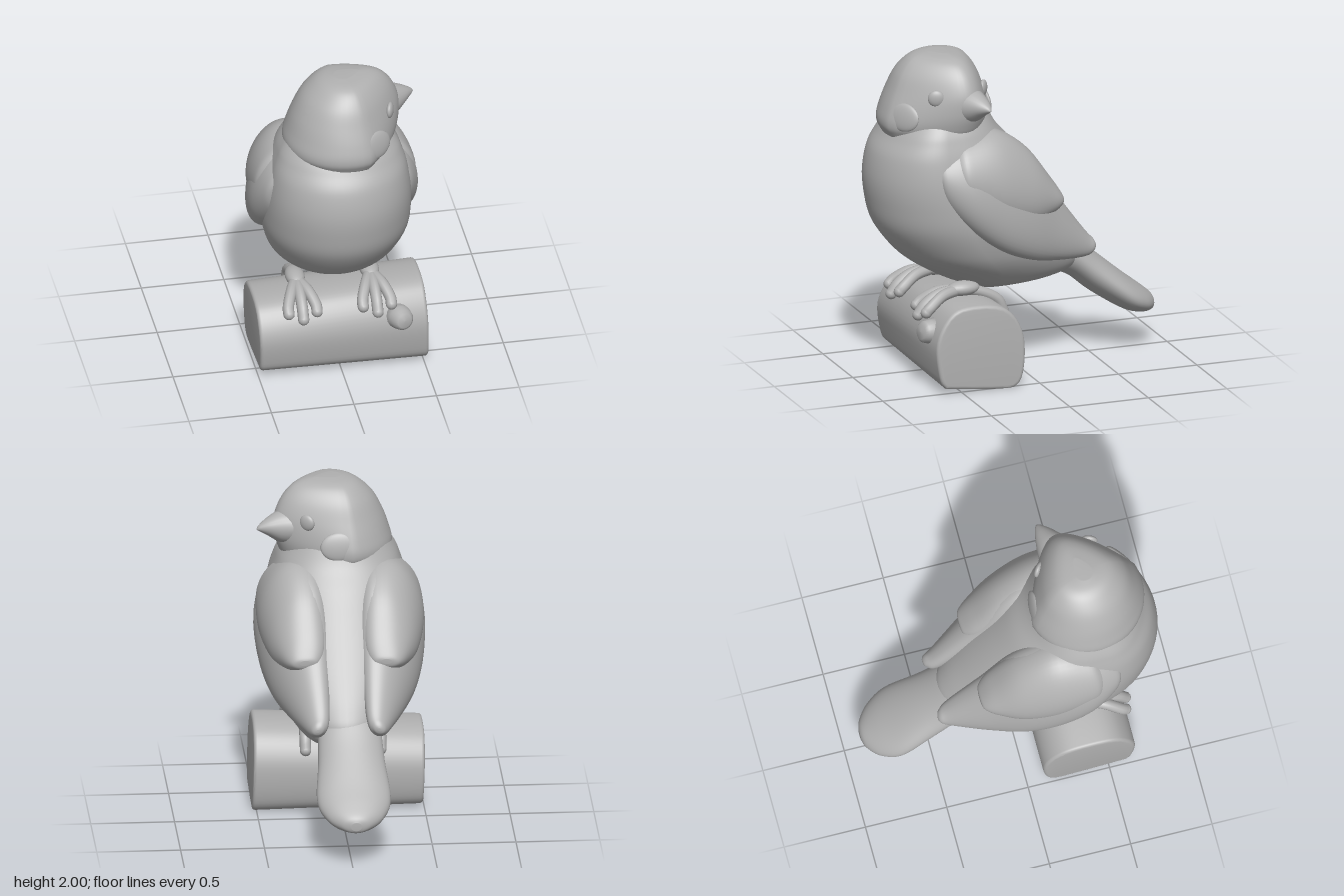
import * as THREE from 'three';
import { toCreasedNormals } from 'three/addons/utils/BufferGeometryUtils.js';

const gray = new THREE.MeshStandardMaterial({ color: 0xb0b0b0 });
gray.name = 'plain gray';

function part(name, geometry, parent) {
  const mesh = new THREE.Mesh(geometry, gray);
  mesh.name = name;
  parent.add(mesh);
  return mesh;
}

// Catmull-Rom refinement of a short table of cross-section sizes
function refine(rows, steps = 6) {
  const out = [];
  const at = (i) => rows[Math.max(0, Math.min(rows.length - 1, i))];
  for (let i = 0; i < rows.length - 1; i++) {
    for (let s = 0; s < steps; s++) {
      const t = s / steps;
      out.push(at(i).map((b, k) => {
        const a = at(i - 1)[k], c = at(i + 1)[k], d = at(i + 2)[k];
        return b + 0.5 * t * (c - a + t * (2 * a - 5 * b + 4 * c - d + t * (3 * (b - c) + d - a)));
      }));
    }
  }
  out.push(rows[rows.length - 1]);
  return out;
}

// Closed skin over cross-sections; ring(row, angle) gives a point [x, y, z]
function loft(rows, ring, sides = 48) {
  const sections = refine(rows), pos = [], idx = [];
  for (const row of sections) {
    for (let j = 0; j < sides; j++) pos.push(...ring(row, (j / sides) * Math.PI * 2));
  }
  const n = sections.length;
  for (let i = 0; i < n - 1; i++) {
    for (let j = 0; j < sides; j++) {
      const k = (j + 1) % sides, a = i * sides, b = a + sides;
      idx.push(a + j, a + k, b + j, a + k, b + k, b + j);
    }
  }
  for (const end of [0, n - 1]) {
    const c = [0, 0, 0], base = end * sides, id = pos.length / 3;
    for (let j = 0; j < sides; j++) for (let k = 0; k < 3; k++) c[k] += pos[(base + j) * 3 + k] / sides;
    pos.push(...c);
    for (let j = 0; j < sides; j++) {
      const a = base + j, b = base + (j + 1) % sides;
      idx.push(id, ...(end ? [a, b] : [b, a]));
    }
  }
  // Turn the faces outward by the sign of the enclosed volume
  const v = (i) => new THREE.Vector3().fromArray(pos, i * 3);
  let volume = 0;
  for (let i = 0; i < idx.length; i += 3) volume += v(idx[i]).dot(v(idx[i + 1]).cross(v(idx[i + 2])));
  if (volume < 0) idx.reverse();
  const g = new THREE.BufferGeometry();
  g.setAttribute('position', new THREE.Float32BufferAttribute(pos, 3));
  g.setIndex(idx);
  g.computeVertexNormals();
  return g;
}

// Body: level slices [y, front z, back z, half width], fuller across the upper back
function addBody(root) {
  part('body', loft([
    [1.64, 0.72, 0.18, 0.3], [1.56, 0.78, 0.14, 0.35], [1.5, 0.82, 0.1, 0.375], [1.4, 0.88, 0.02, 0.405],
    [1.25, 0.91, -0.08, 0.43], [1.1, 0.9, -0.18, 0.44], [0.95, 0.86, -0.28, 0.435],
    [0.8, 0.755, -0.38, 0.4], [0.7, 0.645, -0.43, 0.355], [0.6, 0.48, -0.42, 0.28],
    [0.545, 0.36, -0.28, 0.22], [0.51, 0.26, 0, 0.13], [0.5, 0.18, 0.08, 0.03],
  ], ([y, f, b, w], a) => {
    const zc = b + (f - b) * 0.6, c = Math.cos(a);
    const fullness = 0.9 - 0.26 * THREE.MathUtils.smoothstep(y, 0.7, 1.05);
    return [w * Math.sin(a), y, c > 0 ? zc + c * (f - zc) : zc - (-c) ** fullness * (zc - b)];
  }, 64), root);

  // Tail: upright slices [z, top, bottom, half width]
  part('tail', loft([
    [0, 0.9, 0.56, 0.15], [-0.2, 0.9, 0.54, 0.19], [-0.35, 0.79, 0.5, 0.19],
    [-0.5, 0.65, 0.38, 0.2], [-0.7, 0.48, 0.25, 0.22], [-0.82, 0.385, 0.215, 0.17],
    [-0.89, 0.325, 0.22, 0.09], [-0.91, 0.29, 0.24, 0.03],
  ], ([z, t, b, w], a) => [w * Math.cos(a) - 0.02, (t + b) / 2 + ((t - b) / 2) * Math.sin(a), z]), root);
}

// Wings: upright slices [z, top, bottom, outer x, inner x], leaning in toward the back
function addWings(root) {
  const layers = {
    flightFeathers: [
      [0.6, 1.37, 1.29, 0.4, 0.2], [0.56, 1.45, 1.13, 0.455, 0.15], [0.4, 1.52, 0.95, 0.505, 0.12],
      [0.2, 1.53, 0.81, 0.49, 0.12], [0, 1.4, 0.725, 0.44, 0.11], [-0.2, 1.1, 0.68, 0.355, 0.11],
      [-0.4, 0.83, 0.66, 0.255, 0.12], [-0.46, 0.76, 0.685, 0.225, 0.15], [-0.475, 0.73, 0.71, 0.2, 0.18],
    ],
    coverts: [
      [0.52, 1.42, 1.24, 0.4, 0.2], [0.47, 1.48, 1.15, 0.47, 0.15], [0.4, 1.52, 1.08, 0.495, 0.12],
      [0.2, 1.535, 0.99, 0.492, 0.12], [0, 1.41, 0.95, 0.448, 0.12], [-0.15, 1.215, 0.98, 0.382, 0.13],
      [-0.22, 1.11, 1.02, 0.33, 0.17], [-0.235, 1.08, 1.05, 0.28, 0.22],
    ],
  };
  for (const side of [1, -1]) {
    const wing = new THREE.Group();
    wing.name = side > 0 ? 'leftWing' : 'rightWing';
    root.add(wing);
    for (const [name, rows] of Object.entries(layers)) {
      part(name, loft(rows, ([z, t, b, o, i], a) => {
        const mid = (o + i) / 2, r = (o - i) / 2, s = Math.sin(a), c = Math.cos(a);
        const x = mid + r * Math.sign(c) * Math.abs(c) ** 0.9 - s * (t - b) * 0.1;
        return [side * x - (side > 0 ? 0.012 : 0), (t + b) / 2 + ((t - b) / 2) * s, z];
      }), wing);
    }
  }
}

// Head, built facing +x and then turned: level slices [y, front, back, half width]
function addHead(root) {
  const head = new THREE.Group();
  head.name = 'head';
  head.position.set(0.03, 0, 0.48);
  head.rotation.y = 0.3;
  root.add(head);
  part('skull', loft([
    [2.0, 0.1, -0.05, 0.05], [1.985, 0.19, -0.12, 0.14], [1.95, 0.26, -0.18, 0.2],
    [1.88, 0.32, -0.25, 0.255], [1.78, 0.36, -0.305, 0.3], [1.68, 0.36, -0.34, 0.34],
    [1.6, 0.34, -0.36, 0.36], [1.54, 0.31, -0.345, 0.345], [1.48, 0.24, -0.28, 0.28], [1.44, 0.05, -0.05, 0.05],
  ], ([y, f, b, w], a) => {
    const c = Math.cos(a);
    return [c > 0 ? f * c : -b * c, y, w * Math.sin(a) * (1 - 0.38 * Math.max(0, c))];
  }), head);

  // Beak: slices [x, centre y, half height, half width]
  part('beak', loft([
    [0.28, 1.72, 0.11, 0.12], [0.35, 1.722, 0.092, 0.09], [0.42, 1.73, 0.052, 0.055],
    [0.47, 1.73, 0.02, 0.022], [0.487, 1.725, 0.005, 0.005],
  ], ([x, y, h, w], a) => [x, y + h * Math.sin(a), w * Math.cos(a) - 0.06 * x], 24), head);

  for (const s of [1, -1]) {
    const eye = part('eye', new THREE.SphereGeometry(0.05, 24, 16), head);
    eye.position.set(0.225, 1.78, s * 0.177);
    eye.rotation.y = Math.atan2(0.8, s * 0.6);
    eye.scale.z = 0.45;
    const cheek = part('cheek', new THREE.SphereGeometry(0.1, 24, 16), head);
    cheek.position.set(0.07, 1.65, s * 0.303);
    cheek.rotation.set(-s * 0.2, s * 0.3, 0);
    cheek.scale.set(1.1, 0.85, 0.24);
  }
}

// Log perch with a cut-off twig
function addLog(root) {
  const outline = [[0.6, 0.045], [0.635, 0.1], [0.655, 0.28], [0.6, 0.415], [0.5, 0.488], [0.3, 0.488],
    [0.18, 0.43], [0.11, 0.3], [0.11, 0.12], [0.16, 0.02], [0.3, 0.015]];
  const shape = new THREE.Shape(
    new THREE.SplineCurve([...outline, outline[0]].map(([z, y]) => new THREE.Vector2(-z, y))).getPoints(60).slice(0, -1));
  const g = new THREE.ExtrudeGeometry(shape, {
    depth: 0.98, bevelThickness: 0.02, bevelSize: 0.02, bevelOffset: -0.015, bevelSegments: 3, steps: 1,
  });
  g.rotateY(Math.PI / 2).translate(-0.48, 0, 0);
  const p = g.attributes.position;
  for (let i = 0; i < p.count; i++) {
    const x = p.getX(i), y = p.getY(i);
    p.setX(i, x + 0.03 * (0.25 - y));
    p.setY(i, Math.max(0, y + x * (-0.02 + 0.14 * y)));
  }
  part('log', toCreasedNormals(g, 0.6), root);

  const profile = [[0, -0.08], [0.095, -0.08], [0.072, 0], [0.064, 0.04], [0.045, 0.058], [0, 0.062]];
  const twig = part('twigStub', new THREE.LatheGeometry(profile.map(([r, y]) => new THREE.Vector2(r, y)), 24), root);
  twig.position.set(0.35, 0.35, 0.65);
  twig.rotation.set(Math.PI / 2 - 0.15, 0, -0.25);
}

// Feet: three toes over the front of the log and one behind
function addFeet(root) {
  for (const x of [0.21, -0.24]) {
    const foot = new THREE.Group();
    foot.name = x > 0 ? 'leftFoot' : 'rightFoot';
    root.add(foot);
    const leg = part('leg', new THREE.SphereGeometry(0.065, 20, 14), foot);
    leg.position.set(x, 0.55, 0.38);
    leg.scale.set(0.9, 0.7, 1.6);
    const paths = [-0.085, 0, 0.085].map((d) => [
      [x, 0.545, 0.4], [x + d * 0.6, 0.53, 0.53], [x + d, 0.475, 0.62], [x + d, d ? 0.45 : 0.415, d ? 0.645 : 0.665],
    ]);
    paths.push([[x, 0.545, 0.42], [x, 0.52, 0.28], [x, 0.455, 0.16], [x, 0.385, 0.125]]);
    for (const path of paths) {
      const points = path.map((q) => new THREE.Vector3(...q));
      part('toe', new THREE.TubeGeometry(new THREE.CatmullRomCurve3(points), 20, 0.034, 12), foot);
      part('toeTip', new THREE.SphereGeometry(0.034, 14, 10), foot).position.copy(points[3]);
    }
  }
}

export function createModel() {
  const root = new THREE.Group();
  root.name = 'perchedBird';
  addBody(root);
  addWings(root);
  addHead(root);
  addLog(root);
  addFeet(root);
  return root;
}
